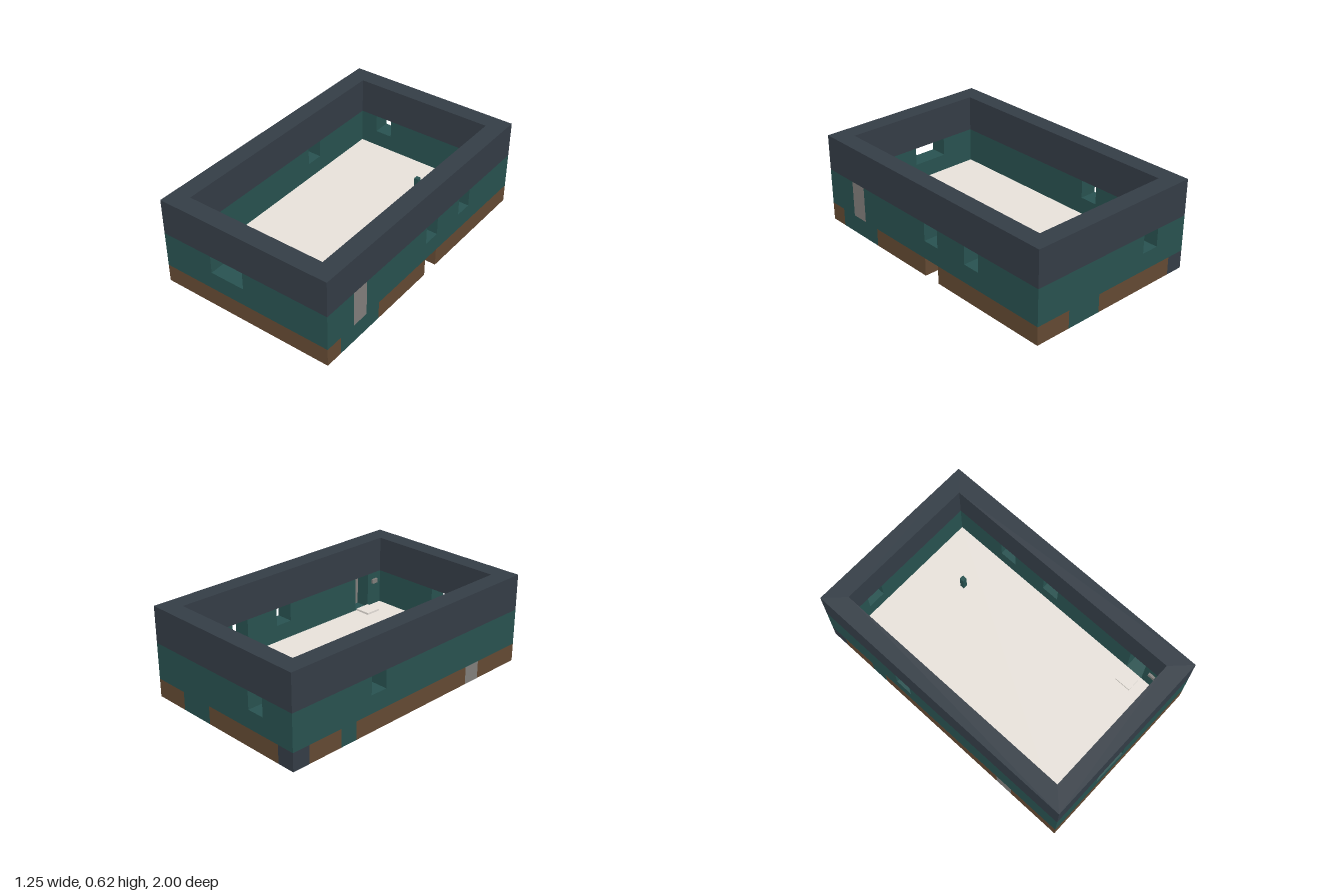
import * as THREE from 'three';

const U = 0.125; // one block

export function createModel() {
  const model = new THREE.Group();
  const material = (name, color) => {
    const m = new THREE.MeshStandardMaterial({ color });
    m.name = name;
    return m;
  };
  const slate = material('slate', 0x343d46);
  const teal = material('teal', 0x285250);
  const brown = material('brown', 0x644a33);
  const grey = material('stone grey', 0x827f7c);
  const pale = material('pale', 0xe9e3dc);

  const add = (name, geometry, mat) => {
    const mesh = new THREE.Mesh(geometry, mat);
    mesh.name = name;
    model.add(mesh);
    return mesh;
  };
  const box = (name, mat, x0, x1, y0, y1, z0, z1) =>
    add(name, new THREE.BoxGeometry(x1 - x0, y1 - y0, z1 - z0), mat)
      .position.set((x0 + x1) / 2, (y0 + y1) / 2, (z0 + z1) / 2);

  // Wall outline with window openings cut down from its top edge
  const wallGeometry = (u0, u1, windows) => {
    const s = new THREE.Shape();
    s.moveTo(u0, U);
    s.lineTo(u1, U);
    s.lineTo(u1, 3 * U);
    for (const [a, b] of windows) { // listed from high u to low u
      s.lineTo(b, 3 * U);
      s.lineTo(b, 2 * U);
      s.lineTo(a, 2 * U);
      s.lineTo(a, 3 * U);
    }
    s.lineTo(u0, 3 * U);
    return new THREE.ExtrudeGeometry(s, { depth: U, bevelEnabled: false });
  };
  const sideWall = (name, outerX, z0, z1, windows) =>
    add(name, wallGeometry(z0, z1, windows).rotateY(-Math.PI / 2).translate(outerX, 0, 0), teal);

  // Middle walls
  add('frontWall', wallGeometry(-0.625, 0.625, [[-0.25, 0]]).translate(0, 0, 0.875), teal);
  add('backWall', wallGeometry(-0.625, 0.625, [[-0.375, -0.25]]).translate(0, 0, -1), teal);
  sideWall('leftWall', 0.625, -0.875, 0.625, [[-0.125, 0], [-0.5, -0.375]]);
  sideWall('leftWallCorner', 0.625, 0.75, 0.875, []);
  sideWall('rightWall', -0.5, -0.875, 0.875, [[-0.375, -0.25]]);

  // Upper ring of the walls
  const rect = (P, x0, x1, y0, y1) => {
    const p = new P();
    p.moveTo(x0, y0);
    p.lineTo(x1, y0);
    p.lineTo(x1, y1);
    p.lineTo(x0, y1);
    p.closePath();
    return p;
  };
  const ring = rect(THREE.Shape, -0.625, 0.625, -1, 1);
  ring.holes.push(rect(THREE.Path, -0.5, 0.5, -0.875, 0.875));
  add('parapet', new THREE.ExtrudeGeometry(ring, { depth: 2 * U, bevelEnabled: false })
    .rotateX(-Math.PI / 2).translate(0, 3 * U, 0), slate);

  // Foundation blocks, by run along each side
  box('frontBase', brown, -0.625, 0.625, 0, U, 0.875, 1);
  for (const [x0, x1, mat] of [
    [-0.625, -0.5, slate], [-0.5, 0.125, brown], [0.125, 0.375, teal], [0.375, 0.625, brown],
  ]) box('backBase', mat, x0, x1, 0, U, -1, -0.875);
  for (const [z0, z1, mat] of [
    [-0.875, -0.125, brown], [0, 0.5, brown], [0.5, 0.875, teal],
  ]) box('leftBase', mat, 0.5, 0.625, 0, U, z0, z1);
  for (const [z0, z1, mat] of [
    [-0.875, -0.625, brown], [-0.625, -0.5, teal], [-0.5, 0.5, brown],
    [0.5, 0.625, grey], [0.625, 0.875, brown],
  ]) box('rightBase', mat, -0.625, -0.5, 0, U, z0, z1);

  // Stone floor slab with two pits underneath, lined in pale blocks
  const slab = rect(THREE.Shape, -0.5, 0.5, -0.875, 0.875);
  const pits = [[0, -0.125], [-0.125, 0.25]]; // low x and z corners
  for (const [x, z] of pits) {
    slab.holes.push(rect(THREE.Path, x, x + U, -z - U, -z));
    const t = 0.006;
    box('pitLining', pale, x, x + t, 0, U, z, z + U);
    box('pitLining', pale, x + U - t, x + U, 0, U, z, z + U);
    box('pitLining', pale, x + t, x + U - t, 0, U, z, z + t);
    box('pitLining', pale, x + t, x + U - t, 0, U, z + U - t, z + U);
  }
  add('floorSlab', new THREE.ExtrudeGeometry(slab, { depth: U, bevelEnabled: false })
    .rotateX(-Math.PI / 2), grey);
  box('floorCovering', pale, -0.5, 0.5, U, U + 0.008, -0.875, 0.875);

  // Door, floor plate, wall button and small post
  box('door', grey, 0.602, 0.625, U, 3 * U, 0.625, 0.75);
  box('floorPlate', pale, 0.38, 0.495, U + 0.008, 0.147, 0.63, 0.745);
  box('button', grey, 0.484, 0.5, 0.297, 0.328, 0.789, 0.836);
  box('post', teal, 0.172, 0.203, U + 0.008, 2 * U, -0.578, -0.547);

  return model;
}
